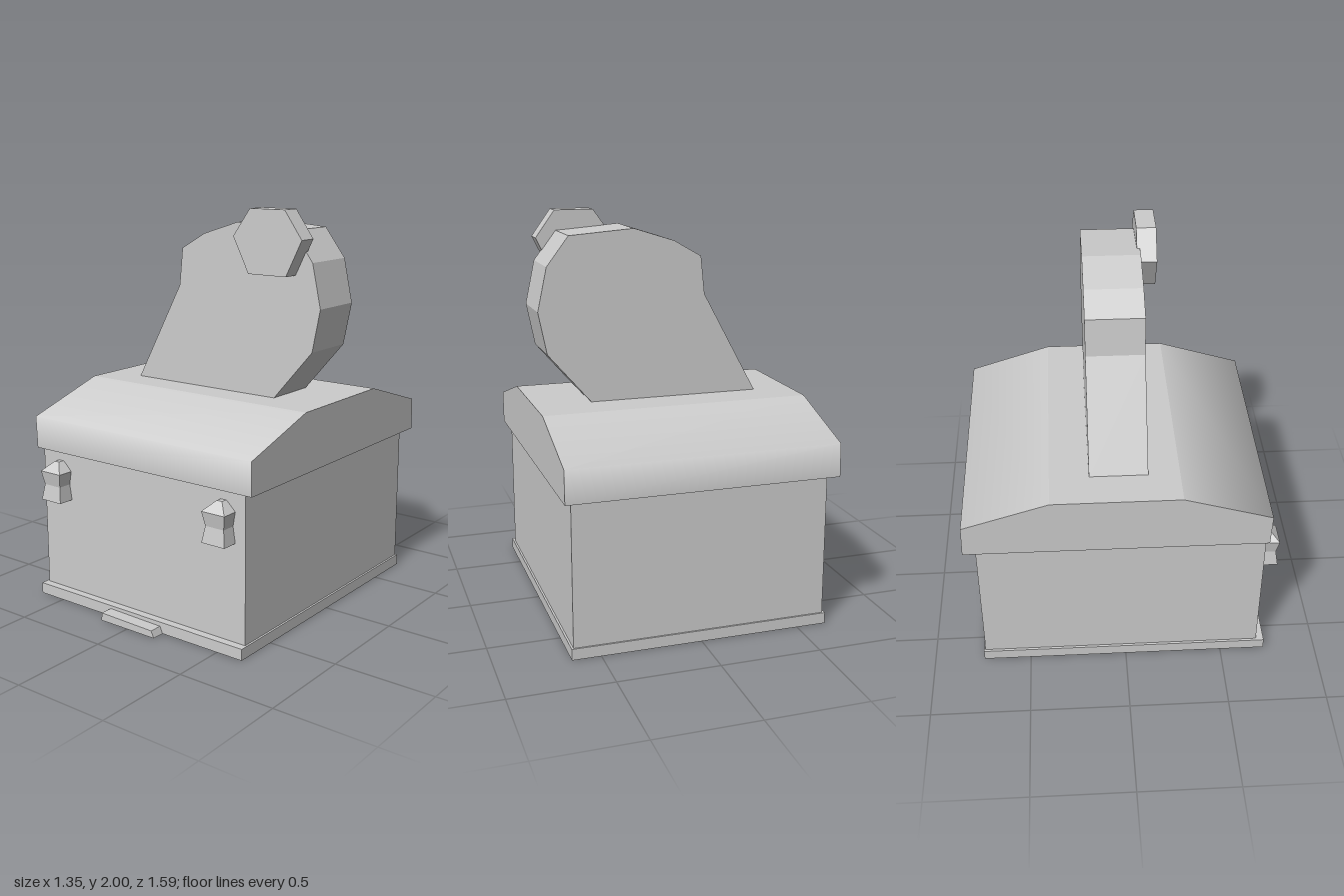
import * as THREE from 'three';

const material = new THREE.MeshStandardMaterial({ color: 0xcccccc });
const flat = new THREE.MeshStandardMaterial({ color: 0xcccccc, flatShading: true });

const toShape = (pts) => new THREE.Shape(pts.map(([x, y]) => new THREE.Vector2(x, y)));

// Extrudes an outline drawn in the front plane from z0 to z1
function slab(pts, z0, z1) {
  return new THREE.ExtrudeGeometry(toShape(pts), { depth: z1 - z0, bevelEnabled: false }).translate(0, 0, z0);
}

// A box given by its limits
function block(x0, x1, y0, y1, z0, z1) {
  return new THREE.BoxGeometry(x1 - x0, y1 - y0, z1 - z0)
    .translate((x0 + x1) / 2, (y0 + y1) / 2, (z0 + z1) / 2);
}

// Lid: a side profile extruded across x, with the shoulder edges shaded softly
function lidGeometry() {
  const profile = [[-0.70, 0.78], [-0.705, 0.945], [-0.27, 1.08], [0.365, 1.08], [0.79, 0.945], [0.795, 0.78]];
  const geo = slab(profile.slice().reverse(), -0.675, 0.672);
  geo.rotateY(Math.PI / 2);
  const pos = geo.attributes.position, nor = geo.attributes.normal;
  const soft = new THREE.Vector3();
  for (let i = 0; i < pos.count; i++) {
    if (Math.abs(pos.getY(i) - 0.945) < 0.001 && Math.abs(nor.getX(i)) < 0.5) {
      soft.set(0, 0.9, Math.sign(pos.getZ(i)) * 1.3).normalize();
      nor.setXYZ(i, soft.x, soft.y, soft.z);
    }
  }
  return geo;
}

// Thin open skirt under the base plate
function skirtGeometry() {
  const rect = (x0, x1, y0, y1) => [[x0, y0], [x1, y0], [x1, y1], [x0, y1]];
  const shape = toShape(rect(-0.65, 0.642, -0.73, 0.743));
  shape.holes.push(new THREE.Path(rect(-0.64, 0.632, -0.72, 0.733)
    .reverse().map(([x, y]) => new THREE.Vector2(x, y))));
  return new THREE.ExtrudeGeometry(shape, { depth: 0.037, bevelEnabled: false }).rotateX(-Math.PI / 2);
}

// Four-sided waisted stud with a pyramid top
function studGeometry() {
  const rings = [[0, 0.54], [0.065, 0.54], [0.052, 0.62], [0.065, 0.69], [0.015, 0.738], [0, 0.738]];
  const points = rings.map(([r, y]) => new THREE.Vector2(r * Math.SQRT2, y));
  return new THREE.LatheGeometry(points, 4).rotateY(Math.PI / 4);
}

export function createModel() {
  const model = new THREE.Group();
  model.name = 'crestedBox';
  const add = (name, geometry, mat = material) => {
    const mesh = new THREE.Mesh(geometry, mat);
    mesh.name = name;
    model.add(mesh);
    return mesh;
  };

  // Box, base and lid
  add('body', block(-0.637, 0.632, 0.05, 0.79, -0.735, 0.69));
  add('basePlate', block(-0.65, 0.642, 0.036, 0.056, -0.743, 0.73));
  add('baseSkirt', skirtGeometry());
  add('lid', lidGeometry());

  // Small tab in front of the base
  add('frontTab', slab([[-0.168, 0], [0.17, 0], [0.155, 0.034], [-0.165, 0.04]], 0.72, 0.795));

  // Studs on the front wall
  for (const [name, x] of [['rightStud', -0.516], ['leftStud', 0.51]]) {
    add(name, studGeometry(), flat).position.set(x, 0, 0.708);
  }

  // Upright leaning crest
  add('crest', slab([
    [-0.485, 1.075], [0.38, 1.075], [0.6, 1.33], [0.642, 1.54], [0.595, 1.755], [0.485, 1.9],
    [0.16, 1.925], [-0.045, 1.86], [-0.185, 1.78], [-0.205, 1.59],
  ], -0.172, 0.115));

  // Six-sided boss on the crest
  add('boss', slab([
    [0.285, 1.69], [0.5, 1.69], [0.587, 1.865], [0.49, 2], [0.293, 2], [0.195, 1.865],
  ], 0.1, 0.198));

  return model;
}
